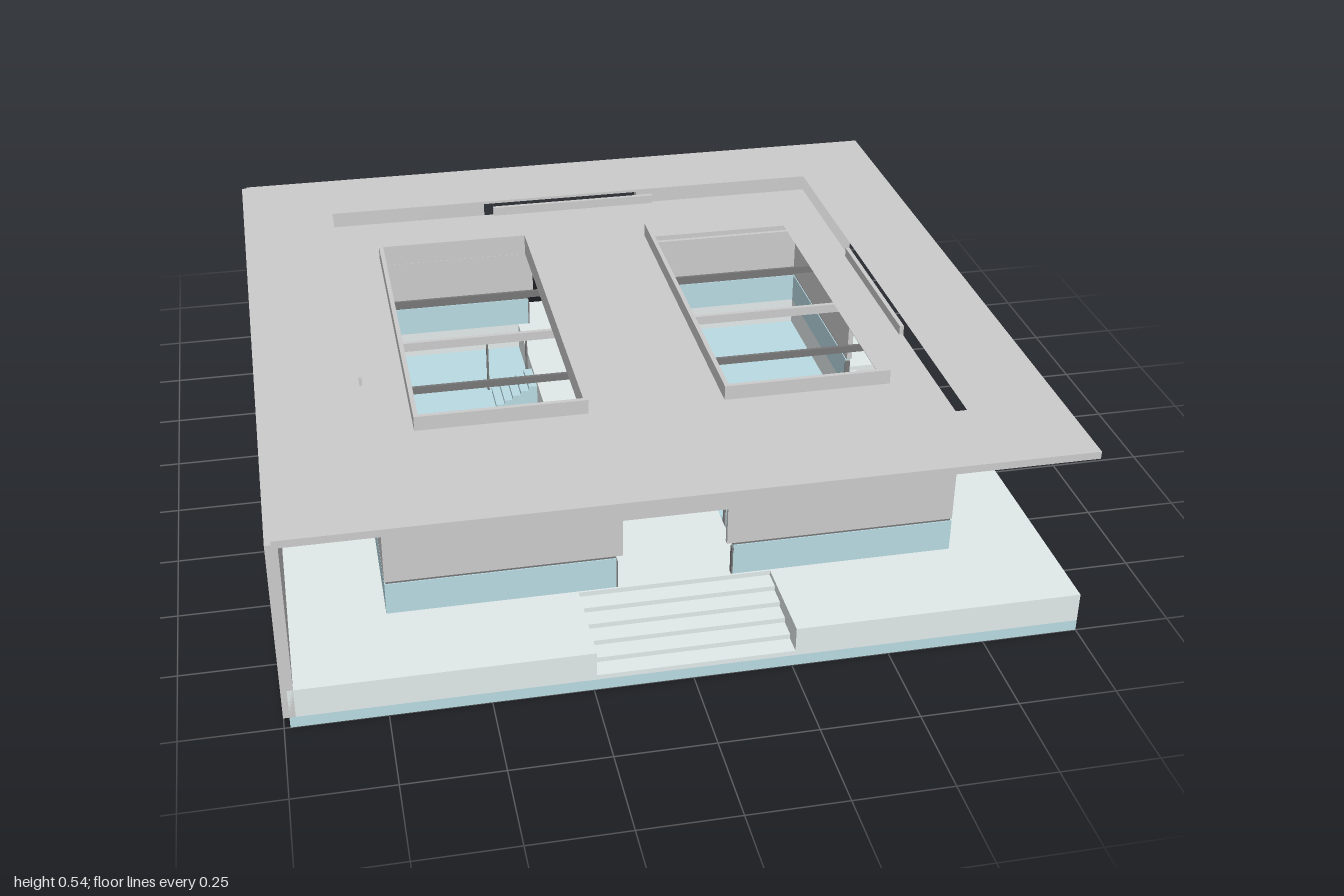
import * as THREE from 'three';

const grey = new THREE.MeshStandardMaterial({ color: 0xcccccc });
const teal = new THREE.MeshStandardMaterial({ color: 0xb9dae3 });
const pale = new THREE.MeshStandardMaterial({ color: 0xe2eaea });
const dark = new THREE.MeshStandardMaterial({ color: 0x777777 });

// Box given by its min and max on each axis
function box(parent, name, x0, x1, y0, y1, z0, z1, mat = grey) {
  const m = new THREE.Mesh(new THREE.BoxGeometry(Math.abs(x1 - x0), y1 - y0, Math.abs(z1 - z0)), mat);
  m.position.set((x0 + x1) / 2, (y0 + y1) / 2, (z0 + z1) / 2);
  m.name = name;
  parent.add(m);
  return m;
}

const rect = (x0, x1, z0, z1) => [[x0, z0], [x1, z0], [x1, z1], [x0, z1]];
const square = (h) => rect(-h, h, -h, h);
const vecs = (pts) => pts.map(([x, z]) => new THREE.Vector2(x, -z));

// Horizontal plate with holes, from y0 to y1
function slab(parent, name, outline, holes, y0, y1, mat = grey) {
  const shape = new THREE.Shape(vecs(outline));
  holes.forEach((h) => shape.holes.push(new THREE.Path(vecs(h))));
  const geo = new THREE.ExtrudeGeometry(shape, { depth: y1 - y0, bevelEnabled: false });
  geo.rotateX(-Math.PI / 2);
  const m = new THREE.Mesh(geo, mat);
  m.position.y = y0;
  m.name = name;
  parent.add(m);
}

const H = 0.9925;      // half size of base and roof
const STAIR = 0.25;    // half width of outer stairs
const LAND = 0.74;     // inner end of outer stairs
const WALL = 0.735;    // half size of pavilion
const BASE = 0.03, FLOOR = 0.11;

// One side of the pavilion, facing +z
function pavilionSide() {
  const g = new THREE.Group();
  g.name = 'pavilionSide';
  const zi = WALL - 0.015;
  for (const s of [-1, 1]) {
    box(g, 'upperWall', s * 0.135, s * WALL, 0.205, 0.47, zi, WALL);
    box(g, 'lowerWall', s * 0.152, s * WALL, FLOOR, 0.198, zi, WALL, teal);
    box(g, 'wallJoint', s * 0.152, s * (WALL - 0.004), 0.198, 0.205, zi + 0.003, WALL - 0.003, dark);
    box(g, 'doorJamb', s * 0.148, s * 0.153, FLOOR, 0.19, zi, WALL, dark);
  }
  box(g, 'doorLintel', -0.135, 0.135, 0.31, 0.47, zi, WALL);
  box(g, 'roofTie', -STAIR, STAIR, 0.485, 0.516, 0.732, 0.744);
  // Entrance steps
  const n = 5, tread = (H - LAND) / n;
  for (let i = 0; i < n; i++) {
    box(g, 'entranceStep', -STAIR, STAIR, BASE, BASE + (FLOOR - BASE) * (n - i) / (n + 1),
      LAND + i * tread, LAND + (i + 1) * tread, pale);
  }
  return g;
}

// Steps and handrail leading down into a sunken room, for quadrant (sx, sz)
function roomSteps(parent, sx, sz) {
  const g = new THREE.Group();
  g.name = 'roomSteps';
  const n = 5, tread = 0.125 / n;
  for (let i = 0; i < n; i++) {
    const x = 0.185 + i * tread;
    box(g, 'roomStep', sx * x, sx * (x + tread), BASE, BASE + (FLOOR - BASE) * (n - i) / (n + 1),
      sz * 0.34, sz * 0.45, teal);
  }
  box(g, 'handrail', sx * 0.19, sx * 0.325, 0.195, 0.2, sz * 0.46, sz * 0.465, dark);
  for (const x of [0.195, 0.315]) {
    box(g, 'railPost', sx * x, sx * (x + 0.006), BASE, 0.195, sz * 0.459, sz * 0.466, dark);
  }
  parent.add(g);
}

export function createModel() {
  const model = new THREE.Group();
  model.name = 'pavilion';
  const g = new THREE.Group();
  g.name = 'building';
  g.position.set(0.0075, 0, 0.0075);
  model.add(g);

  // Base plate
  box(g, 'base', -H, H, 0, BASE, -H, H, teal);

  // Platform with a stair notch on each side and four sunken rooms
  const outline = [];
  let corner = [[-H, H], [-STAIR, H], [-STAIR, LAND], [STAIR, LAND], [STAIR, H]];
  for (let i = 0; i < 4; i++) {
    outline.push(...corner);
    corner = corner.map(([x, z]) => [z, -x]);
  }
  const signs = [[1, 1], [1, -1], [-1, 1], [-1, -1]];
  const rooms = signs.map(([sx, sz]) => rect(sx * 0.185, sx * 0.72, sz * 0.185, sz * 0.72));
  slab(g, 'platform', outline, rooms, BASE, FLOOR, pale);
  signs.forEach(([sx, sz]) => roomSteps(g, sx, sz));

  // Four pavilion sides
  for (let i = 0; i < 4; i++) {
    const side = pavilionSide();
    side.rotation.y = i * Math.PI / 2;
    g.add(side);
  }

  // Ceiling beams
  for (const z of [-0.495, 0, 0.495]) box(g, 'beam', -0.745, 0.745, 0.445, 0.47, z - 0.006, z + 0.006);
  for (const z of [-0.247, 0.247]) box(g, 'thinBeam', -0.72, 0.72, 0.45, 0.47, z - 0.004, z + 0.004, dark);

  // Dropped inner roof with two framed skylights
  const lights = [-1, 1].map((s) => rect(s * 0.19, s * 0.61, -0.49, 0.49));
  slab(g, 'innerRoof', square(0.742), lights, 0.47, 0.49);
  lights.forEach((inner, i) => {
    const s = i ? 1 : -1;
    slab(g, 'skylightFrame', rect(s * 0.178, s * 0.622, -0.502, 0.502), [inner], 0.47, 0.53);
  });

  // Outer roof
  slab(g, 'outerRoof', square(H), [square(0.742)], 0.515, 0.535);

  // Two outer walls with a tall opening over the stairs
  const c = 0.0075, top = 0.525, head = 0.42;
  const outerWall = (name, from) => {
    const w = new THREE.Group();
    w.name = name;
    box(w, 'wallPanel', from, c - STAIR, BASE, top, -1, -0.97);
    box(w, 'wallPanel', c + STAIR, 1, BASE, top, -1, -0.97);
    box(w, 'wallHead', c - STAIR, c + STAIR, head, top, -1, -0.97);
    model.add(w);
    return w;
  };
  outerWall('backWall', -1);
  // The side wall is the back wall's plan mirrored over x = z
  const sideWall = outerWall('rightWall', -0.97);
  sideWall.children.forEach((m) => {
    m.rotation.y = Math.PI / 2;
    m.position.set(m.position.z, m.position.y, m.position.x);
  });
  return model;
}
